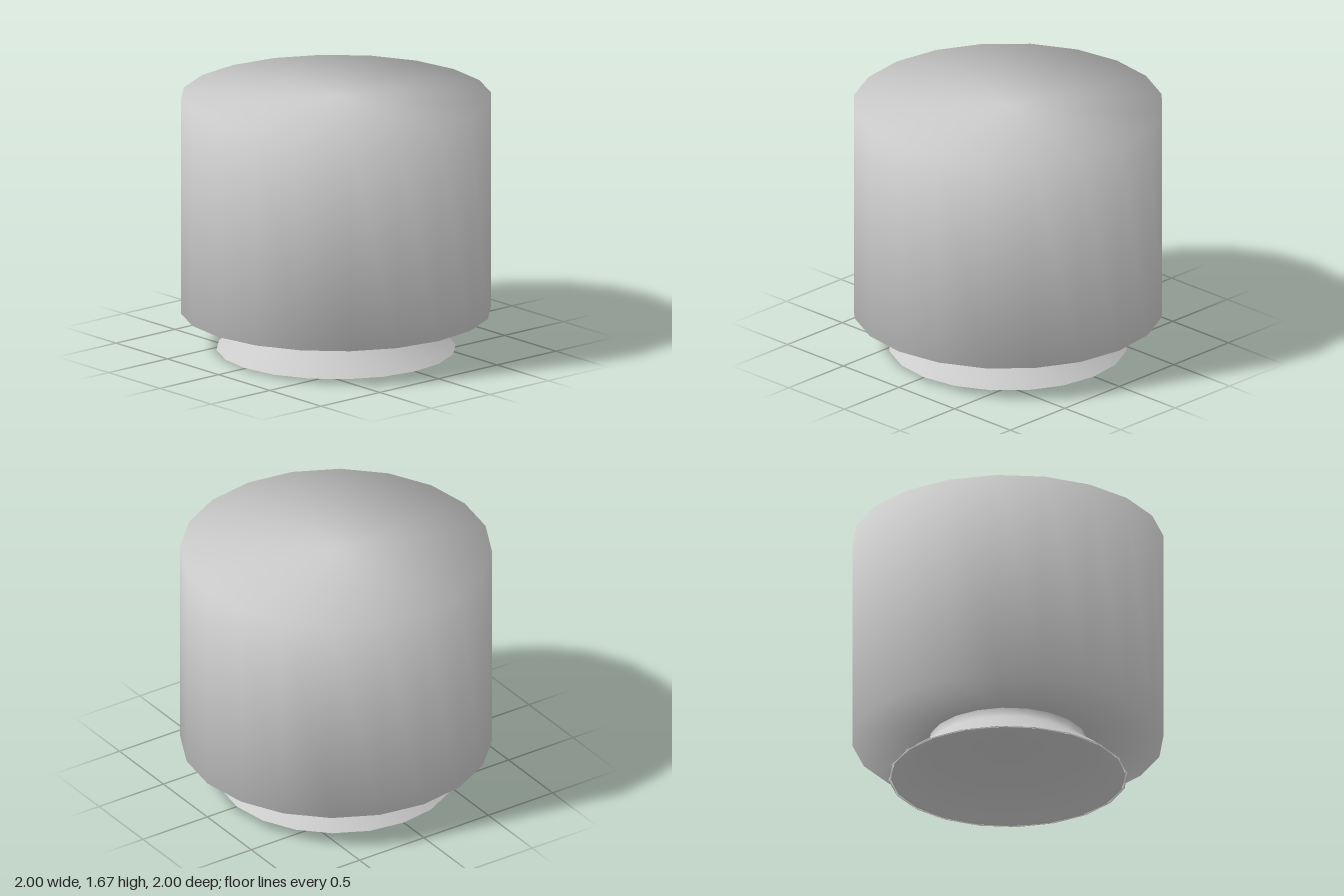
import * as THREE from 'three';

const SIDES = 20;
const material = new THREE.MeshStandardMaterial({ color: 0xcccccc });

// Turned part from a profile of [radius, height] pairs, listed with the outside on the right
function turned(name, profile) {
  const points = profile.map(([r, y]) => new THREE.Vector2(r, y));
  const mesh = new THREE.Mesh(new THREE.LatheGeometry(points, SIDES), material);
  mesh.name = name;
  return mesh;
}

export function createModel() {
  const group = new THREE.Group();
  group.name = 'drumOnFlaredFoot';

  // Hollow flared foot: ceiling, inner flare, rim, outer flare, neck
  group.add(turned('foot', [
    [0, 0.2], [0.48, 0.19], [0.735, 0.01], [0.75, 0], [0.77, 0], [0.51, 0.19], [0.51, 0.25],
  ]));

  // Wide closed drum: underside, wall, flat top
  group.add(turned('body', [
    [0.5, 0.25], [1, 0.25], [1, 1.67], [0, 1.67],
  ]));

  return group;
}
